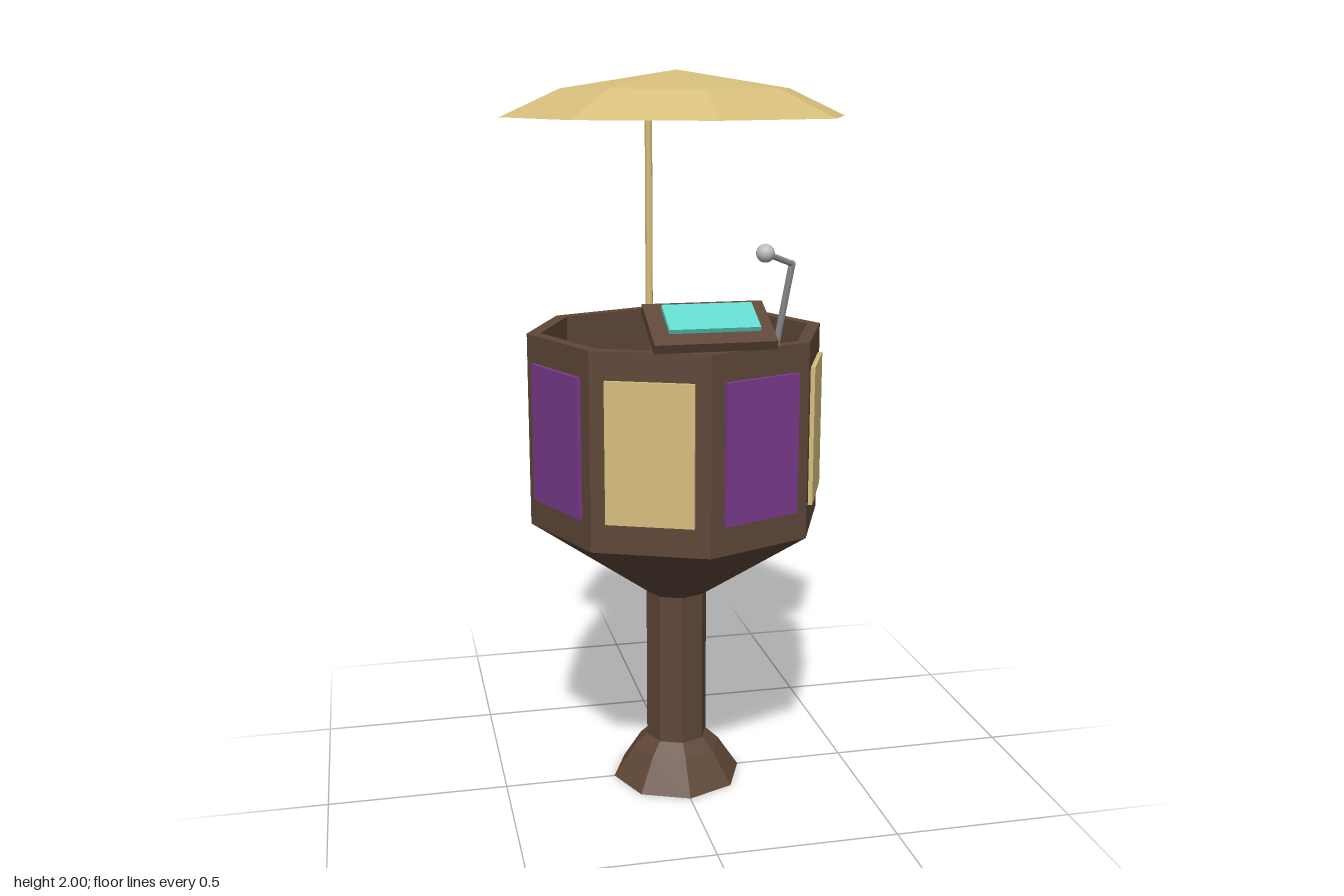
import * as THREE from 'three';

function material(name, color) {
  const m = new THREE.MeshStandardMaterial({ color, flatShading: true });
  m.name = name;
  return m;
}

export function createModel() {
  const model = new THREE.Group();
  const wood = material('dark wood', 0x5f4738);
  const tan = material('tan', 0xd6be7c);
  const purple = material('purple', 0x7a3b8c);
  const teal = material('teal', 0x62d8cc);
  const steel = material('steel', 0x96969a);
  const silver = new THREE.MeshStandardMaterial({ color: 0xbebec0 });
  silver.name = 'silver';

  const add = (name, geometry, mat, x = 0, y = 0, z = 0) => {
    const mesh = new THREE.Mesh(geometry, mat);
    mesh.name = name;
    mesh.position.set(x, y, z);
    model.add(mesh);
    return mesh;
  };
  // Eight-sided turned part, with corners on the x and z axes
  const octagon = (name, profile, mat) =>
    add(name, new THREE.LatheGeometry(profile.map(([r, y]) => new THREE.Vector2(r, y)), 8), mat);
  // Round bar between two points
  const rod = (name, a, b, radius, mat) => {
    const start = new THREE.Vector3(...a), end = new THREE.Vector3(...b);
    const dir = end.clone().sub(start);
    const mesh = add(name, new THREE.CylinderGeometry(radius, radius, dir.length(), 8), mat);
    mesh.position.copy(start).add(end).multiplyScalar(0.5);
    mesh.quaternion.setFromUnitVectors(new THREE.Vector3(0, 1, 0), dir.normalize());
    return mesh;
  };

  // Flared foot and post
  octagon('foot', [[0, 0], [0.185, 0], [0.125, 0.09], [0.088, 0.125], [0, 0.125]], wood);
  octagon('post', [[0.087, 0.12], [0.087, 0.57]], wood);

  // Hollow tub with tapered underside, rim and inner floor
  octagon('tub', [[0, 0.565], [0.088, 0.565], [0.41, 0.785], [0.41, 1.315],
    [0.373, 1.315], [0.373, 0.8], [0, 0.8]], wood);

  // Alternating coloured panels, one on each side of the tub
  for (let i = 0; i < 8; i++) {
    const a = (i + 0.5) * Math.PI / 4;
    const d = 0.41 * Math.cos(Math.PI / 8) + 0.003;
    const panel = add('panel', new THREE.BoxGeometry(0.232, 0.375, 0.018),
      i % 2 ? tan : purple, Math.sin(a) * d, 1.053, Math.cos(a) * d);
    panel.rotation.y = a;
  }

  // Canopy on its pole at the back
  octagon('canopy', [[0, 1.88], [0.468, 1.88], [0.31, 1.952], [0, 2]], tan);
  rod('canopyPole', [0, 1.3, -0.377], [0, 1.89, -0.377], 0.011, tan);

  // Sloping reading board with a sheet above it
  const tilt = 0.455;
  add('readingBoard', new THREE.BoxGeometry(0.31, 0.025, 0.177), wood, 0, 1.38, 0.376).rotation.x = tilt;
  add('sheet', new THREE.BoxGeometry(0.23, 0.012, 0.108), teal, 0, 1.405, 0.395).rotation.x = tilt;

  // Bent microphone arm and head
  const bend = [0.212, 1.53, 0.373];
  rod('microphoneStem', [0.19, 1.3, 0.31], bend, 0.009, steel);
  rod('microphoneArm', bend, [0.125, 1.565, 0.435], 0.008, steel);
  add('microphoneElbow', new THREE.SphereGeometry(0.009, 8, 6), steel, ...bend);
  add('microphoneHead', new THREE.SphereGeometry(0.023, 16, 12), silver, 0.125, 1.565, 0.436);

  return model;
}
